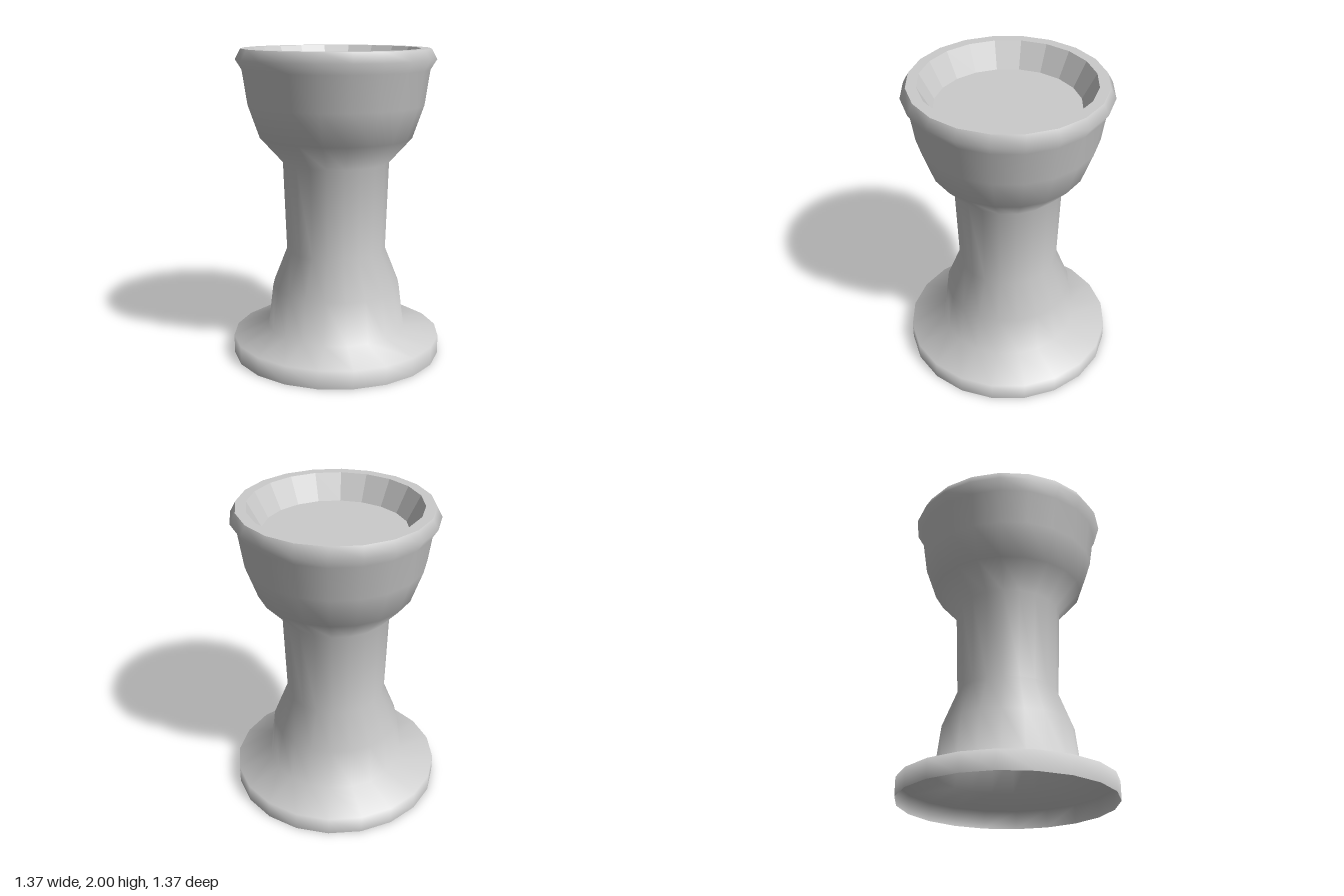
import * as THREE from 'three';

const SIDES = 20;

// Turn a profile of [radius, height] pairs around the y axis
function turned(name, profile, flatShading) {
  const points = profile.map(([r, y]) => new THREE.Vector2(r, y));
  const material = new THREE.MeshStandardMaterial({
    color: 0xcccccc, flatShading, side: THREE.DoubleSide,
  });
  const mesh = new THREE.Mesh(new THREE.LatheGeometry(points, SIDES), material);
  mesh.name = name;
  return mesh;
}

export function createModel() {
  const group = new THREE.Group();
  group.name = 'pedestalCup';

  // Smooth outer shell, open underneath: foot, waisted stem, cup and lip
  group.add(turned('outerShell', [
    [0.685, 0], [0.685, 0.12],
    [0.455, 0.18], [0.42, 0.46], [0.325, 0.7],
    [0.345, 1.28], [0.49, 1.44], [0.563, 1.65], [0.595, 1.87],
    [0.635, 1.935], [0.6, 2],
  ], false));

  // Faceted flat rim, sloping inner wall and floor of the cup
  group.add(turned('rim', [[0.6, 2], [0.535, 2]], true));
  group.add(turned('innerWall', [[0.535, 2], [0.45, 1.84]], true));
  group.add(turned('cupFloor', [[0.45, 1.84], [0, 1.84]], true));

  return group;
}
